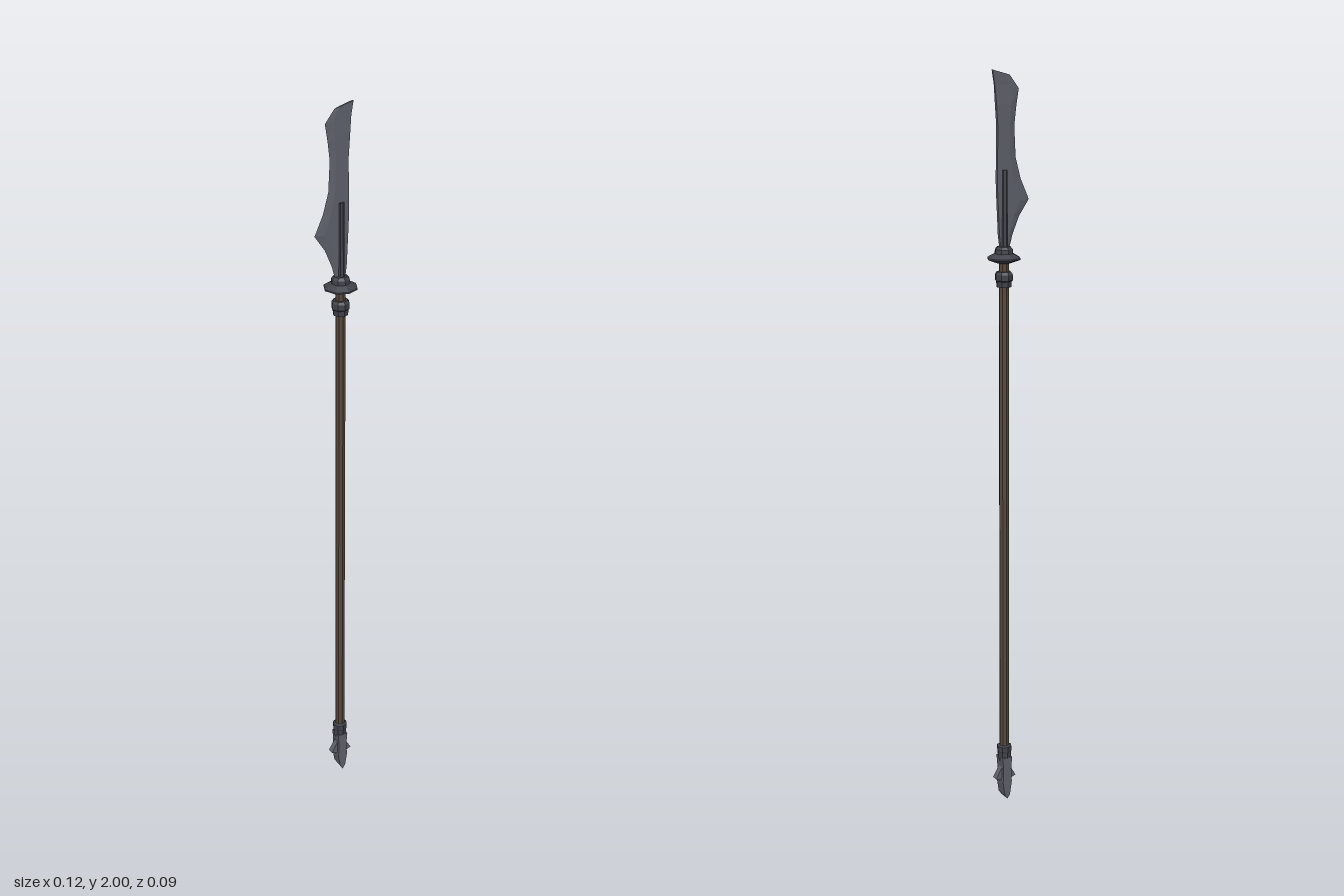
import * as THREE from 'three';

const mat = (name, color, side = THREE.FrontSide) =>
  Object.assign(new THREE.MeshStandardMaterial({ color, flatShading: true, side }), { name });

const CX = 0.0135; // shaft axis

export function createModel() {
  const steel = mat('blade steel', 0x5f626c);
  const dark = mat('dark iron', 0x41434b);
  const wood = mat('brown wood', 0x58493c);
  const group = new THREE.Group();
  group.name = 'glaive';

  const add = (name, geometry, material, x = CX) => {
    const mesh = new THREE.Mesh(geometry, material);
    mesh.name = name;
    mesh.position.x = x;
    group.add(mesh);
    return mesh;
  };
  // eight-sided turned part from [radius, y] pairs, bottom to top
  const turned = (name, points, material) =>
    add(name, new THREE.LatheGeometry(points.map(([r, y]) => new THREE.Vector2(r, y)), 8), material);
  // front outline extruded symmetrically through z
  const slab = (name, points, depth, material) => {
    const shape = new THREE.Shape(points.map(([x, y]) => new THREE.Vector2(x, y)));
    const g = new THREE.ExtrudeGeometry(shape, { depth, bevelEnabled: false });
    return add(name, g.translate(0, 0, -depth / 2), material);
  };

  // shaft
  turned('shaft', [[0, 0.1], [0.0135, 0.1], [0.0135, 1.53], [0, 1.53]], wood);

  // collar below the guard
  turned('collar', [[0.0135, 1.45], [0.02, 1.45], [0.021, 1.465], [0.024, 1.468],
    [0.024, 1.483], [0.019, 1.49], [0.0135, 1.49]], dark);

  // flared guard with a stepped top
  turned('guard', [[0, 1.512], [0.018, 1.512], [0.0445, 1.522], [0.0445, 1.526], [0.029, 1.535],
    [0.025, 1.537], [0.024, 1.548], [0.018, 1.555], [0, 1.556]], dark);

  // raised spine socket on both faces of the blade
  const spine = new THREE.CylinderGeometry(0.0125, 0.0145, 0.205, 8);
  spine.scale(0.62, 1, 1).translate(0, 1.6475, 0);
  add('spine', spine, dark);

  // blade: cutting edge [x, y] and back [x, y] for each section
  const rows = [
    [-0.001, 1.545, 0.024, 1.545],
    [-0.012, 1.585, 0.029, 1.585],
    [-0.031, 1.63, 0.031, 1.63],
    [-0.06, 1.672, 0.033, 1.672],
    [-0.036, 1.725, 0.035, 1.725],
    [-0.021, 1.78, 0.034, 1.78],
    [-0.017, 1.86, 0.033, 1.86],
    [-0.023, 1.91, 0.037, 1.92],
    [-0.03, 1.952, 0.041, 1.965],
    [-0.004, 1.986, 0.047, 2.0],
  ];
  const position = [], index = [], n = 5;
  rows.forEach(([lx, ly, rx, ry], r) => {
    const bx = lx + 0.3 * (rx - lx), by = ly + 0.3 * (ry - ly);
    const t = r > 7 ? 0.0025 : 0.0045;
    position.push(lx, ly, 0, bx, by, t, rx, ry, t, rx, ry, -t, bx, by, -t);
    if (r === 0) return;
    for (let i = 0; i < n; i++) {
      const a = (r - 1) * n + i, b = (r - 1) * n + (i + 1) % n;
      index.push(a, b, b + n, a, b + n, a + n);
    }
  });
  const top = (rows.length - 1) * n;
  for (let i = 1; i < n - 1; i++) index.push(top, top + i, top + i + 1, 0, i + 1, i);
  const blade = new THREE.BufferGeometry();
  blade.setAttribute('position', new THREE.Float32BufferAttribute(position, 3));
  blade.setIndex(index);
  const flat = blade.toNonIndexed();
  flat.computeVertexNormals();
  add('blade', flat, steel, 0);

  // ferrule at the foot
  turned('ferrule', [[0, 0.112], [0.016, 0.112], [0.019, 0.125], [0.019, 0.14],
    [0.0205, 0.143], [0.0205, 0.157], [0.0135, 0.16]], dark);

  // wedge-shaped butt spike with a barb on each side
  slab('buttSpike', [[0, 0], [0.008, 0.012], [0.014, 0.05], [0.012, 0.09], [0.015, 0.125],
    [-0.015, 0.125], [-0.012, 0.09], [-0.014, 0.05], [-0.008, 0.012]], 0.036, steel);
  for (const s of [1, -1]) {
    const pts = [[0.01, 0.055], [0.031, 0.063], [0.021, 0.08], [0.01, 0.1]].map(([x, y]) => [s * x, y]);
    slab(s > 0 ? 'leftBarb' : 'rightBarb', pts, 0.018, steel);
  }
  return group;
}
